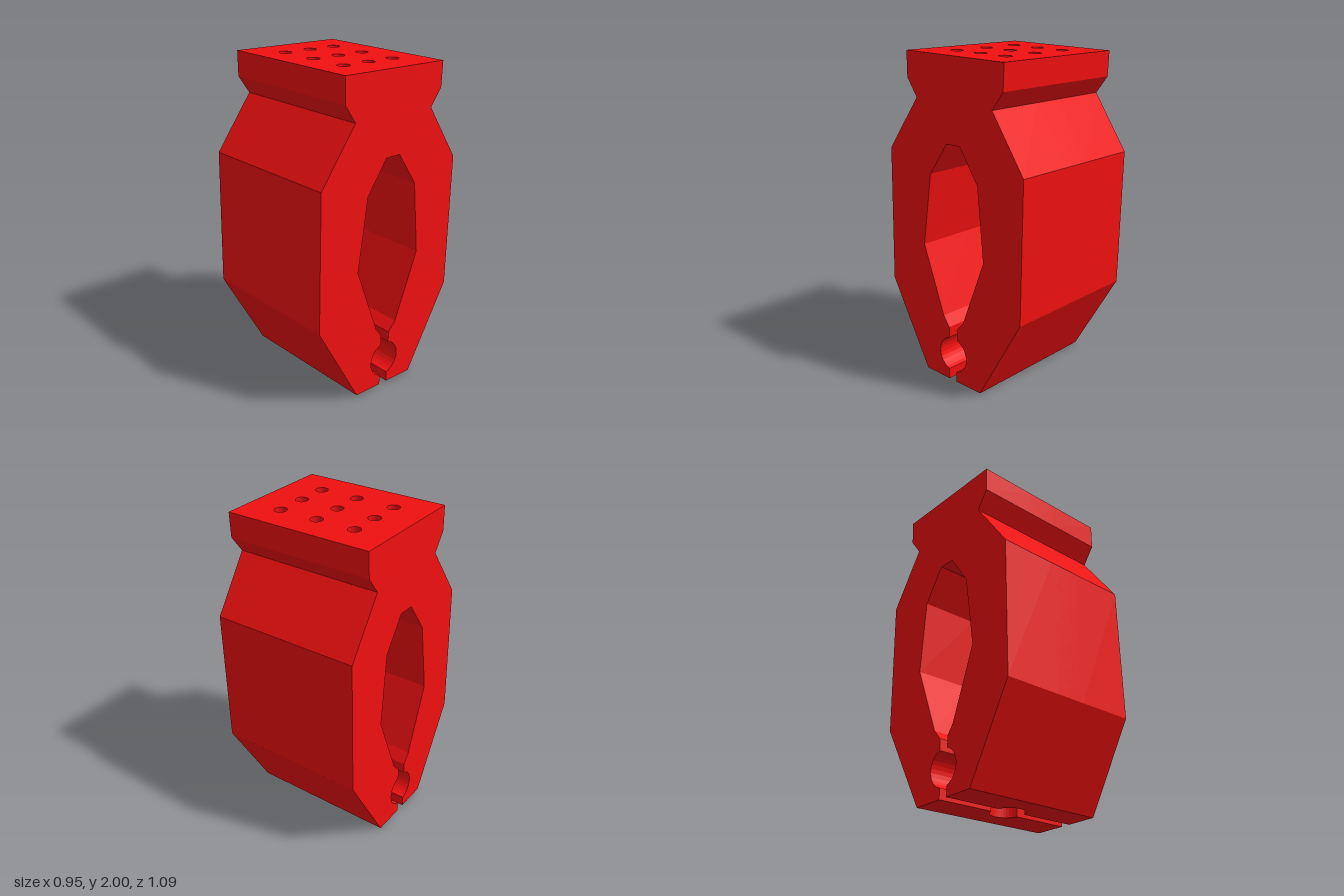
import * as THREE from 'three';

const HALF = 0.473;                               // half width along x
const BORE = { z: 0.02, y: 0.18, r: 0.111 };      // cross bore between the jaws
const PORT = { z: 0.025, r: 0.105 };              // vertical port from below
const SLOT = 0.03;                                // half width of the jaw slot
const HOLE = { r: 0.038, depth: 0.45, stepX: 0.252, stepZ: 0.19 };
const TOP_FRONT = [0.355, 2.0], TOP_BACK = [-0.402, 1.98];

// points on the cross bore, angle measured from straight down
function boreArc(t0, t1, n = 12) {
  return Array.from({ length: n + 1 }, (_, i) => {
    const t = t0 + (t1 - t0) * i / n;
    return [BORE.z + BORE.r * Math.sin(t), BORE.y - BORE.r * Math.cos(t)];
  });
}
const boreAngle = (z) => Math.asin(THREE.MathUtils.clamp((z - BORE.z) / BORE.r, -1, 1));

// outline as [z, y] for a jaw opening of half width w; first edge is the top
function profile(w) {
  const back = PORT.z - w - 0, front = PORT.z + w;
  const bottomY = (z) => 0.007 + 0.035 * z;
  return [
    TOP_FRONT, TOP_BACK, [-0.395, 1.825], [-0.315, 1.72], [-0.54, 1.38], [-0.52, 0.53], [-0.205, 0],
    [back, bottomY(back)],
    ...boreArc(boreAngle(back), -Math.PI - boreAngle(-0.015)),
    [-0.015, 0.355], [-0.07, 0.415], [-0.24, 0.835], [-0.2, 1.285], [-0.065, 1.49],
    [0.04, 1.49], [0.18, 1.295], [0.25, 0.845], [0.095, 0.42], [0.05, 0.355],
    ...boreArc(Math.PI - boreAngle(0.05), boreAngle(front)),
    [front, bottomY(front)],
    [0.25, 0.016], [0.545, 0.555], [0.525, 1.405], [0.28, 1.735], [0.355, 1.845],
  ];
}

// loft the outline along x, widening the jaw opening where the port passes
function bodyGeometry() {
  const sections = [{ x: -HALF, w: SLOT }];
  const a0 = Math.asin(SLOT / PORT.r), n = 16;
  for (let i = 0; i <= n; i++) {
    const a = a0 + (Math.PI - 2 * a0) * i / n;
    sections.push({ x: -PORT.r * Math.cos(a), w: PORT.r * Math.sin(a) });
  }
  sections.push({ x: HALF, w: SLOT });
  const rings = sections.map(({ x, w }) => profile(w).map(([z, y]) => [x, y, z]));
  const pos = [];
  const tri = (...corners) => corners.forEach((c) => pos.push(...c));

  for (let s = 0; s < rings.length - 1; s++) {
    const p = rings[s], q = rings[s + 1];
    for (let i = 1; i < p.length; i++) {          // edge 0 is the drilled top
      const j = (i + 1) % p.length;
      tri(p[i], q[i], q[j]);
      tri(p[i], q[j], p[j]);
    }
  }
  // end faces
  const outline = profile(SLOT).map(([z, y]) => new THREE.Vector2(z, y));
  const first = rings[0], last = rings[rings.length - 1];
  for (const [a, b, c] of THREE.ShapeUtils.triangulateShape(outline, [])) {
    tri(first[a], first[b], first[c]);
    tri(last[a], last[c], last[b]);
  }
  const g = new THREE.BufferGeometry();
  g.setAttribute('position', new THREE.Float32BufferAttribute(pos, 3));
  g.computeVertexNormals();
  return g;
}

export function createModel() {
  const model = new THREE.Group();
  model.name = 'clampHolder';
  const red = new THREE.MeshStandardMaterial({ color: 0xf01010, flatShading: true });
  const redInside = new THREE.MeshStandardMaterial({ color: 0xf01010, side: THREE.BackSide });
  const add = (parent, name, geometry, material) => {
    const mesh = new THREE.Mesh(geometry, material);
    mesh.name = name;
    parent.add(mesh);
    return mesh;
  };

  add(model, 'clampBody', bodyGeometry(), red);

  // slightly tilted top face with a 3 x 3 grid of blind holes
  const top = new THREE.Group();
  top.name = 'drilledTop';
  const dz = TOP_FRONT[0] - TOP_BACK[0], dy = TOP_FRONT[1] - TOP_BACK[1];
  top.position.set(0, (TOP_FRONT[1] + TOP_BACK[1]) / 2, (TOP_FRONT[0] + TOP_BACK[0]) / 2);
  top.rotation.x = -Math.atan2(dy, dz);
  model.add(top);

  const h = Math.hypot(dz, dy) / 2;
  const face = new THREE.Shape([[-HALF, -h], [HALF, -h], [HALF, h], [-HALF, h]]
    .map(([x, y]) => new THREE.Vector2(x, y)));
  const wall = new THREE.CylinderGeometry(HOLE.r, HOLE.r, HOLE.depth, 24, 1, true);
  const floor = new THREE.CircleGeometry(HOLE.r, 24).rotateX(-Math.PI / 2);
  for (let i = -1; i <= 1; i++) {
    for (let k = -1; k <= 1; k++) {
      const x = i * HOLE.stepX, z = k * HOLE.stepZ;
      face.holes.push(new THREE.Path().absarc(x, -z, HOLE.r, 0, Math.PI * 2, true));
      add(top, 'holeWall', wall, redInside).position.set(x, -HOLE.depth / 2, z);
      add(top, 'holeFloor', floor, red).position.set(x, -HOLE.depth, z);
    }
  }
  add(top, 'topFace', new THREE.ShapeGeometry(face, 12).rotateX(-Math.PI / 2), red);
  return model;
}
